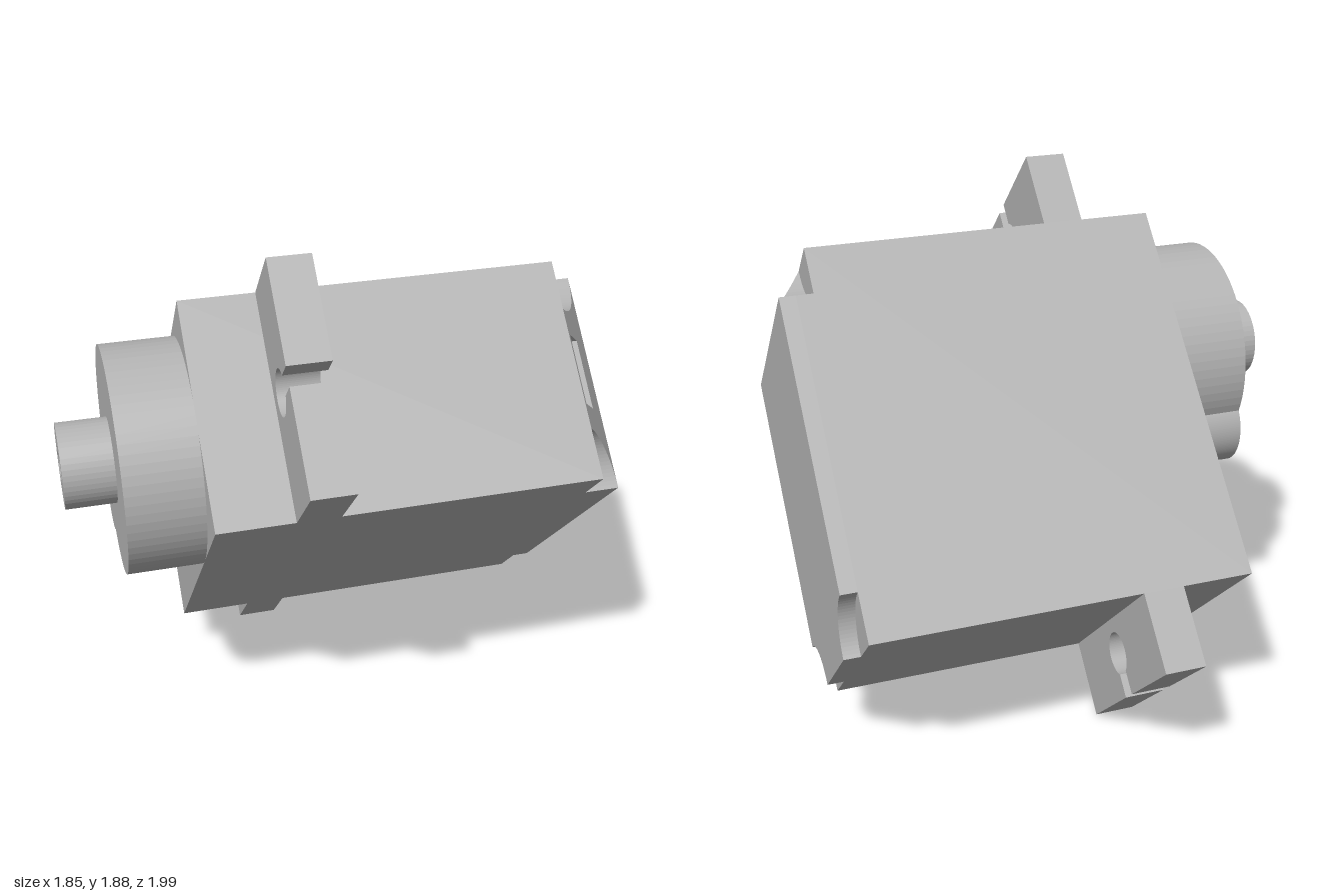
import * as THREE from 'three';

// Local axes: x along the shaft (shaft end negative), y along the long side, z across the width.
const HALF = 0.378;              // half of the case width
const Y0 = -0.035, Y1 = 1.328;   // long side of the case
const FRONT = -0.642, STEP = 0.611, NOTCH = 0.671, BACK = 0.728;
const R = 0.17;                  // corner screw recess radius
const CHAMFER_Y = Y1 - R;
const SHAFT_Y = 0.953;

const grey = new THREE.MeshStandardMaterial({ color: 0xb4b4b4 });
grey.name = 'grey plastic';

function polygon(points) {
  return new THREE.Shape(points.map(([x, y]) => new THREE.Vector2(x, y)));
}

// Extrudes a width/height outline along local x from x0 to x1
function slab(shape, x0, x1, curveSegments = 32) {
  const g = new THREE.ExtrudeGeometry(shape, { depth: x1 - x0, bevelEnabled: false, curveSegments });
  return g.rotateY(Math.PI / 2).translate(x0, 0, 0);
}

export function createModel() {
  const model = new THREE.Group();
  model.name = 'servoMotor';
  const servo = new THREE.Group();
  servo.name = 'tiltedServo';
  model.add(servo);

  const add = (name, geometry) => {
    const mesh = new THREE.Mesh(geometry, grey);
    mesh.name = name;
    servo.add(mesh);
    return mesh;
  };

  // Case, stepped at the cable end
  const side = polygon([
    [FRONT, Y0], [NOTCH, Y0], [NOTCH, CHAMFER_Y],
    [STEP, CHAMFER_Y], [STEP, Y1], [FRONT, Y1],
  ]);
  add('case', new THREE.ExtrudeGeometry(side, { depth: HALF * 2, bevelEnabled: false })
    .translate(0, 0, -HALF));

  // Back cover with two rounded screw recesses
  const cover = new THREE.Shape();
  cover.moveTo(-HALF + R, Y0);
  cover.lineTo(HALF - R, Y0);
  cover.absarc(HALF, Y0, R, Math.PI, Math.PI / 2, true);
  cover.lineTo(HALF, CHAMFER_Y);
  cover.lineTo(-HALF, CHAMFER_Y);
  cover.lineTo(-HALF, Y0 + R);
  cover.absarc(-HALF, Y0, R, Math.PI / 2, 0, true);
  add('backCover', slab(cover, NOTCH, BACK, 10));

  // Chamfered edge between the other two recesses, with the cable slot
  const edge = new THREE.Shape();
  edge.moveTo(-HALF, CHAMFER_Y);
  edge.lineTo(HALF, CHAMFER_Y);
  edge.absarc(HALF, Y1, R, -Math.PI / 2, -Math.PI, true);
  edge.lineTo(-HALF + R, Y1);
  edge.absarc(-HALF, Y1, R, 0, -Math.PI / 2, true);
  edge.holes.push(polygon([[-0.12, 1.245], [-0.12, 1.315], [0.12, 1.315], [0.12, 1.245]]));
  const edgeGeometry = slab(edge, STEP, BACK, 10);
  const p = edgeGeometry.attributes.position;
  for (let i = 0; i < p.count; i++) {
    const limit = STEP + (BACK - STEP) * (Y1 - p.getY(i)) / R;
    p.setX(i, Math.min(p.getX(i), Math.max(STEP, limit)));
  }
  edgeGeometry.computeVertexNormals();
  add('chamferedCableEdge', edgeGeometry);

  // Mounting ears with keyhole slots
  const ear = new THREE.Shape();
  const gap = 0.032, holeR = 0.075, reach = 0.27;
  const open = Math.asin(gap / holeR);
  ear.moveTo(-HALF, 0);
  ear.lineTo(HALF, 0);
  ear.lineTo(HALF, reach);
  ear.lineTo(gap, reach);
  ear.absarc(0, 0.12, holeR, Math.PI / 2 - open, Math.PI / 2 + open, true);
  ear.lineTo(-gap, reach);
  ear.lineTo(-HALF, reach);
  add('upperEar', slab(ear, -0.392, -0.25).translate(0, Y1, 0));
  add('lowerEar', slab(ear, -0.392, -0.25).rotateX(Math.PI).translate(0, Y0, 0));

  // Gear housing: a large round joined to a small one
  const smallR = 0.155, apart = 0.316;
  const t = (apart ** 2 + HALF ** 2 - smallR ** 2) / (2 * apart);
  const h = Math.sqrt(HALF ** 2 - t ** 2);
  const big = Math.atan2(h, t), small = Math.atan2(h, apart - t) ;
  const down = -Math.PI / 2;
  const housing = new THREE.Shape();
  housing.absarc(0, 0, HALF, down + big, down + 2 * Math.PI - big, false);
  // the small arc spans the part of its circle outside the large one
  const sweep = Math.PI - small;
  housing.absarc(0, -apart, smallR, down - sweep, down + sweep, false);
  add('gearHousing', slab(housing, -0.89, FRONT).translate(0, SHAFT_Y, 0));

  // Output shaft with screw hole
  const shaft = new THREE.Shape();
  shaft.absarc(0, 0, 0.142, 0, Math.PI * 2, false);
  const bore = new THREE.Path();
  bore.absarc(0, 0, 0.052, 0, Math.PI * 2, true);
  shaft.holes.push(bore);
  add('outputShaft', slab(shaft, -1.057, -0.89, 24).translate(0, SHAFT_Y, 0));

  // Tilted resting pose
  const c = 0.8904, s = 0.4552, k = Math.SQRT1_2;
  const across = new THREE.Vector3(s * k, -k, c * k);
  const pose = new THREE.Matrix4().makeBasis(
    new THREE.Vector3(c, 0, -s), new THREE.Vector3(s * k, k, c * k), across);
  servo.quaternion.setFromRotationMatrix(pose);
  servo.position.copy(across).multiplyScalar(-0.678);
  return model;
}
